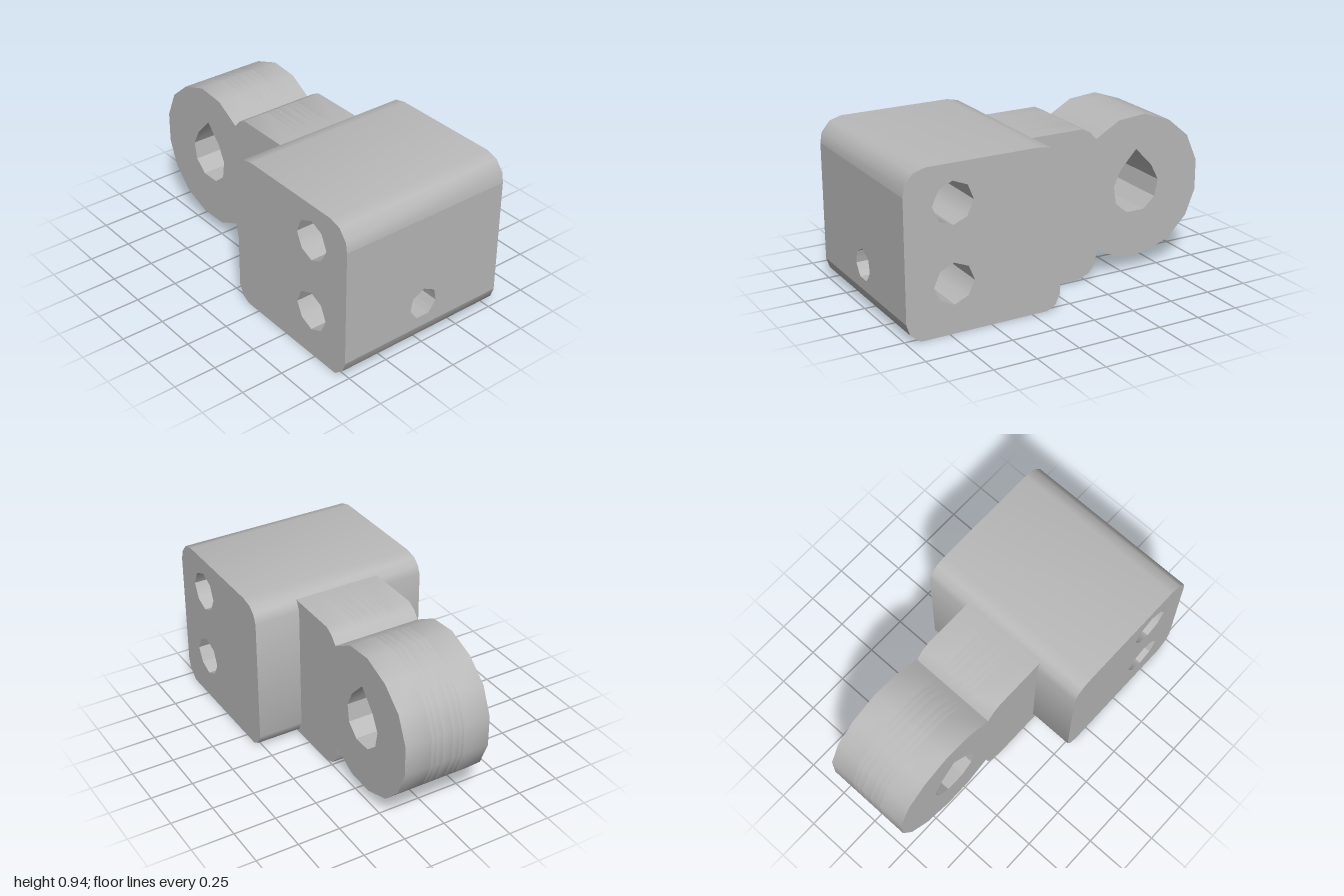
import * as THREE from 'three';
import { mergeGeometries, toCreasedNormals } from 'three/addons/utils/BufferGeometryUtils.js';

const steel = new THREE.MeshStandardMaterial({ color: 0xb8b8b8, side: THREE.DoubleSide });
steel.name = 'grey steel';

const HALF = 0.53; // half depth of the block
const ARM = 0.26; // half depth of the arm
const vec = (pts) => pts.map(([x, y]) => new THREE.Vector2(x, y));

function makeShape(outline, holes = []) {
  const shape = new THREE.Shape(vec(outline));
  shape.holes = holes.map((h) => new THREE.Path(vec(h)));
  return shape;
}

function mesh(name, geometry) {
  const m = new THREE.Mesh(geometry, steel);
  m.name = name;
  return m;
}

// Triangles from four-cornered faces
function quads(list) {
  const pos = [];
  for (const [a, b, c, d] of list) pos.push(...a, ...b, ...c, ...a, ...c, ...d);
  const g = new THREE.BufferGeometry();
  g.setAttribute('position', new THREE.Float32BufferAttribute(pos, 3));
  g.computeVertexNormals();
  return g;
}

// Wall along an outline, through the full block depth
function wall(line) {
  const list = [];
  for (let i = 0; i + 1 < line.length; i++) {
    const [p, q] = [line[i], line[i + 1]];
    list.push([[...p, HALF], [...p, -HALF], [...q, -HALF], [...q, HALF]]);
  }
  return toCreasedNormals(quads(list), 0.75);
}

function createBlock() {
  const group = new THREE.Group();
  group.name = 'block';

  // Outline runs anticlockwise and leaves the +x face open
  const outline = [
    [1, 0.8], [0.99, 0.86], [0.94, 0.92], [0.87, 0.94],
    [0.21, 0.94], [0.14, 0.925], [0.1, 0.89], [0.08, 0.84],
    [0.08, 0.09], [0.11, 0.03], [0.16, 0.003],
    [0.92, 0], [0.98, 0.05], [1, 0.11],
  ];
  const upperHole = [
    [0.72, 0.845], [0.8, 0.81], [0.84, 0.725], [0.8, 0.64],
    [0.72, 0.607], [0.64, 0.64], [0.6, 0.725], [0.635, 0.81],
  ];
  const lowerRight = [[0.72, 0.4], [0.8, 0.365], [0.84, 0.28], [0.8, 0.2], [0.72, 0.165]];
  const lowerLeft = [[0.72, 0.165], [0.64, 0.2], [0.6, 0.28], [0.635, 0.365], [0.72, 0.4]];
  const lowerHole = [...lowerRight, ...lowerLeft.slice(1, -1)];

  group.add(mesh('blockShell', wall(outline)));
  group.add(mesh('upperBore', wall([...upperHole, upperHole[0]])));
  group.add(mesh('lowerBore', wall(lowerLeft)));

  // End faces
  for (const s of [1, -1]) {
    const face = new THREE.ShapeGeometry(makeShape(outline, [upperHole, lowerHole]));
    if (s < 0) {
      face.rotateY(Math.PI);
      face.scale(-1, 1, 1); // restores x, which reverses the winding
      face.index.array.reverse();
      face.computeVertexNormals();
    }
    face.translate(0, 0, s * HALF);
    group.add(mesh(s > 0 ? 'frontFace' : 'backFace', face));
  }

  // Side hole: height and half width of the seven-sided opening, row by row
  const rows = [
    [0.165, 0], [0.175, 0], [0.175, 0.04], [0.2, 0.062], [0.24, 0.088],
    [0.28, 0.081], [0.312, 0.073], [0.35, 0], [0.365, 0], [0.4, 0],
  ];
  const boreX = (y) => {
    for (let i = 0; i < 4; i++) {
      const [[x0, y0], [x1, y1]] = [lowerRight[i], lowerRight[i + 1]];
      if (y <= y0 && y >= y1) return x0 + ((x1 - x0) * (y0 - y)) / (y0 - y1);
    }
    return 0.72;
  };
  const side = [], bore = [], tunnel = [];
  const put = (list, s, a, b, c, d) => list.push(s > 0 ? [a, b, c, d] : [d, c, b, a]);
  const all = [[0.11, 0], ...rows, [0.8, 0]];
  for (const s of [1, -1]) {
    for (let i = 0; i + 1 < all.length; i++) {
      const [[y0, w0], [y1, w1]] = [all[i], all[i + 1]];
      const [z0, z1, e] = [s * w0, s * w1, s * HALF];
      if (y1 > y0) put(side, s, [1, y0, e], [1, y0, z0], [1, y1, z1], [1, y1, e]);
      if (i < 1 || i + 2 >= all.length) continue;
      const [x0, x1] = [boreX(y0), boreX(y1)];
      if (y1 > y0) put(bore, s, [x0, y0, z0], [x0, y0, e], [x1, y1, e], [x1, y1, z1]);
      if (w0 + w1 > 0) put(tunnel, s, [x0, y0, z0], [x1, y1, z1], [1, y1, z1], [1, y0, z0]);
    }
  }
  group.add(mesh('sideFace', quads(side)));
  group.add(mesh('lowerBoreOuterWall', quads(bore)));
  group.add(mesh('sideHole', quads(tunnel)));
  return group;
}

function createArm() {
  // Eye and neck in one outline; the relief cuts the underside where they meet
  const top = [
    [0.15, 0.9], [-0.22, 0.9], [-0.27, 0.875], [-0.31, 0.83],
    [-0.46, 0.915], [-0.63, 0.93], [-0.8, 0.87], [-0.93, 0.76], [-1, 0.6],
    [-1, 0.42], [-0.94, 0.27], [-0.82, 0.15], [-0.65, 0.09], [-0.48, 0.095],
  ];
  const plain = [[-0.33, 0.165], [-0.31, 0.08], [-0.27, 0.035], [-0.2, 0.01], [0.15, 0.01]];
  const relief = (h) => [
    [-0.33, 0.165 + 0.3 * h], [-0.2, 0.14 + h], [-0.12, 0.12 + h], [-0.07, 0.01], [0.15, 0.01],
  ];
  const eye = [
    [-0.58, 0.73], [-0.685, 0.62], [-0.735, 0.525], [-0.715, 0.425], [-0.64, 0.36],
    [-0.525, 0.36], [-0.45, 0.425], [-0.435, 0.53], [-0.48, 0.625],
  ];

  // Slabs across the depth, with a rounded relief in the middle ones
  const cuts = [-ARM, -0.1, -0.07, -0.03, 0.03, 0.07, 0.1, ARM];
  const slabs = [];
  for (let i = 0; i + 1 < cuts.length; i++) {
    const mid = (cuts[i] + cuts[i + 1]) / 2;
    const outer = Math.abs(mid) > 0.1;
    const bottom = outer ? plain : relief(0.1 * Math.sqrt(1 - (mid / 0.1) ** 2));
    const slab = new THREE.ExtrudeGeometry(makeShape([...top, ...bottom], [eye]), {
      depth: cuts[i + 1] - cuts[i], bevelEnabled: false,
    });
    slab.translate(0, 0, cuts[i]);
    slabs.push(toCreasedNormals(slab, 0.55));
  }
  return mesh('eyeArm', mergeGeometries(slabs));
}

export function createModel() {
  const model = new THREE.Group();
  model.name = 'hingeBracket';
  model.add(createBlock(), createArm());
  return model;
}
